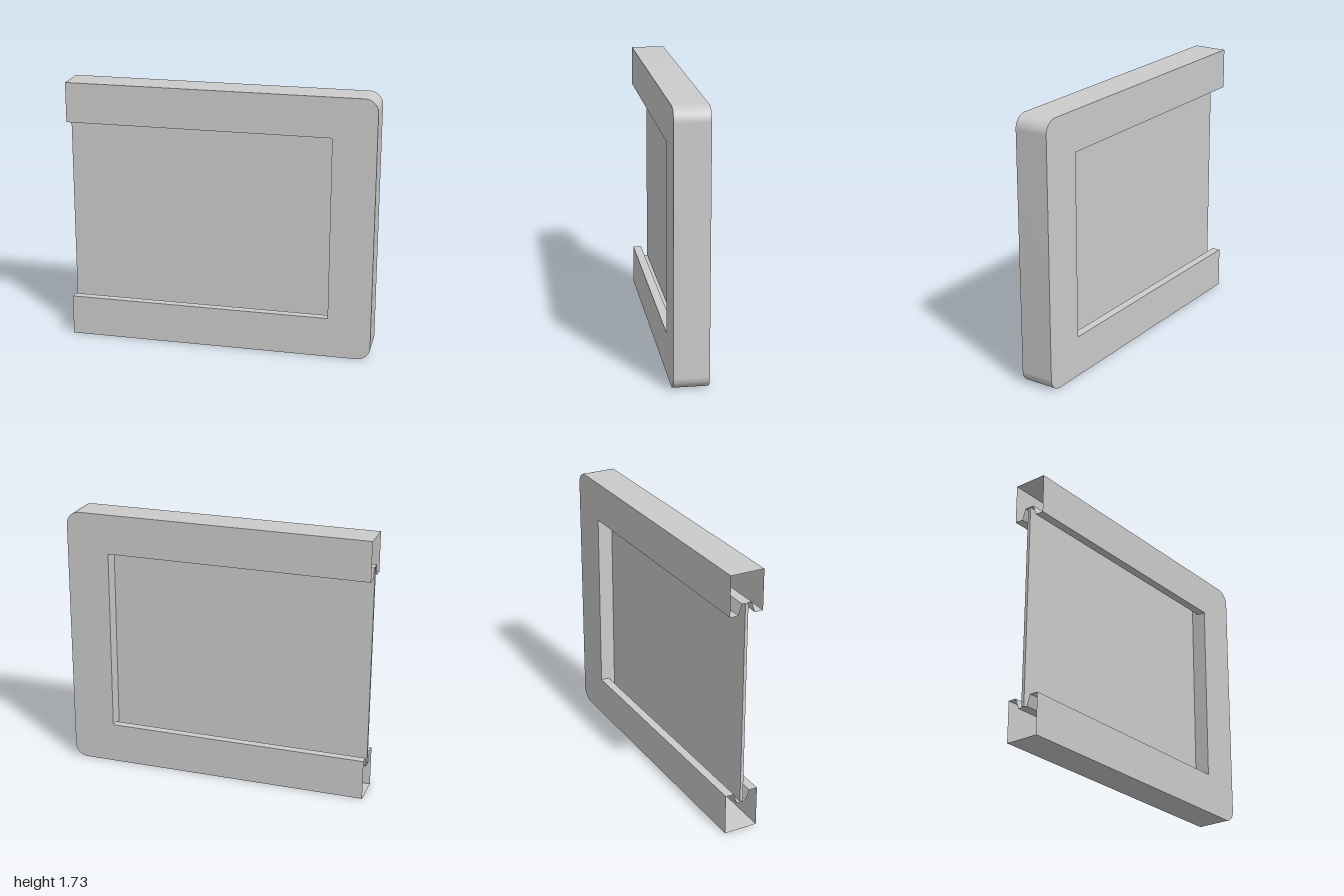
import * as THREE from 'three';
import { toCreasedNormals } from 'three/addons/utils/BufferGeometryUtils.js';

const H = 1.725, D = 0.11, R = 0.085;          // height, half depth, corner radius
const LOW = 0.265, HIGH = 1.465, JAMB = 0.72;  // window opening
const material = new THREE.MeshStandardMaterial({ color: 0xcccccc, side: THREE.DoubleSide });

function add(group, name, geometry) {
  const mesh = new THREE.Mesh(geometry, material);
  mesh.name = name;
  group.add(mesh);
  return mesh;
}

// Thin wall: a path of points swept along a straight vector
function sheet(path, sweep) {
  const positions = [], index = [];
  path.forEach((p, i) => {
    positions.push(...p.toArray(), ...p.clone().add(sweep).toArray());
    if (i) {
      const a = 2 * i - 2;
      index.push(a, a + 2, a + 3, a, a + 3, a + 1);
    }
  });
  const g = new THREE.BufferGeometry();
  g.setAttribute('position', new THREE.Float32BufferAttribute(positions, 3));
  g.setIndex(index);
  return toCreasedNormals(g, 0.4);
}

// Outer edge, open at the slot end (-x), counter-clockwise
function outerEdge() {
  const s = new THREE.Shape();
  s.moveTo(-1, 0);
  s.lineTo(1 - R, 0);
  s.absarc(1 - R, R, R, -Math.PI / 2, 0);
  s.lineTo(1, H - R);
  s.absarc(1 - R, H - R, R, 0, Math.PI / 2);
  s.lineTo(-1, H);
  return s;
}

export function createModel() {
  const model = new THREE.Group();
  model.name = 'slidingPanelFrame';

  // Front and back faces of the hollow U-shaped frame
  const face = outerEdge();
  face.lineTo(-1, HIGH);
  face.lineTo(JAMB, HIGH);
  face.lineTo(JAMB, LOW);
  face.lineTo(-1, LOW);
  add(model, 'frontFace', new THREE.ShapeGeometry(face, 16)).position.z = D;
  const back = add(model, 'backFace', new THREE.ShapeGeometry(face, 16));
  back.position.z = -D;
  // turn the back face outward
  back.geometry.index.array.reverse();
  back.geometry.attributes.normal.array.forEach((v, i, a) => { a[i] = -v; });

  // Outer wall around top, rounded side and bottom
  const depth = new THREE.Vector3(0, 0, 2 * D);
  const rim = outerEdge().getPoints(16).map(p => new THREE.Vector3(p.x, p.y, -D));
  add(model, 'outerWall', sheet(rim, depth));

  // Flat inner wall at the closed end
  const jamb = [HIGH + 0.07, LOW - 0.07].map(y => new THREE.Vector3(JAMB, y, -D));
  add(model, 'innerEndWall', sheet(jamb, depth));

  // Lipped, tapered grooves that hold the panel; bottom one mirrored to the top
  const profile = [[-D, 0], [-0.055, 0], [-0.032, -0.07], [0.032, -0.07], [0.055, 0], [D, 0]];
  const along = new THREE.Vector3(JAMB + 1, 0, 0);
  const lower = profile.map(([z, y]) => new THREE.Vector3(-1, LOW + y, z));
  const upper = profile.map(([z, y]) => new THREE.Vector3(-1, HIGH - y, z)).reverse();
  add(model, 'lowerGroove', sheet(lower, along));
  add(model, 'upperGroove', sheet(upper, along));

  // Thin panel seated in the grooves
  const panel = add(model, 'panel', new THREE.BoxGeometry(JAMB + 1, HIGH - LOW + 0.13, 0.02));
  panel.position.set((JAMB - 1) / 2, (LOW + HIGH) / 2, 0);

  return model;
}
